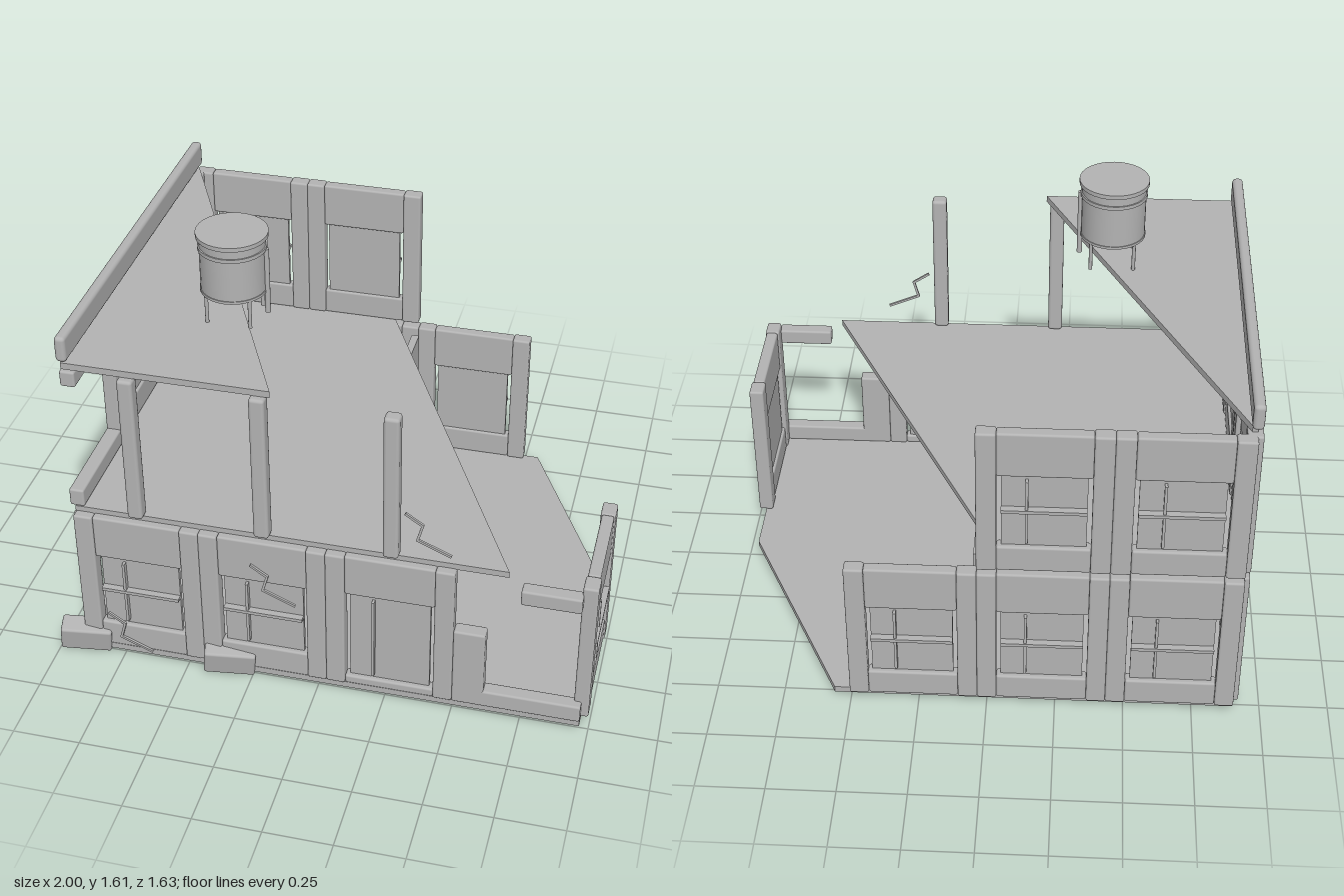
import * as THREE from 'three';
import { RoundedBoxGeometry } from 'three/addons/geometries/RoundedBoxGeometry.js';

const concrete = new THREE.MeshStandardMaterial({ color: 0xb3b3b3 });
concrete.name = 'grey concrete';

const STOREY = 0.59, THICK = 0.055;

function add(parent, name, geometry, x = 0, y = 0, z = 0) {
  const mesh = new THREE.Mesh(geometry, concrete);
  mesh.name = name;
  mesh.position.set(x, y, z);
  parent.add(mesh);
  return mesh;
}

// Softly rounded block given by its extents in x and y, its depth and centre z
function block(parent, name, x0, x1, y0, y1, depth, z = 0, r = 0.008) {
  const radius = Math.min(r, depth * 0.4, (x1 - x0) * 0.4, (y1 - y0) * 0.4);
  return add(parent, name, new RoundedBoxGeometry(x1 - x0, y1 - y0, depth, 2, radius),
    (x0 + x1) / 2, (y0 + y1) / 2, z);
}

function bar(parent, name, w, h, d, x, y, z) {
  return add(parent, name, new THREE.BoxGeometry(w, h, d), x, y, z);
}

// Flat slab cut to a polygon of [x, z] corners
function slab(parent, name, corners, y0, y1) {
  const shape = new THREE.Shape(corners.map(([x, z]) => new THREE.Vector2(x, -z)));
  const geometry = new THREE.ExtrudeGeometry(shape, { depth: y1 - y0, bevelEnabled: false });
  geometry.rotateX(-Math.PI / 2);
  return add(parent, name, geometry, 0, y0, 0);
}

// One wall bay, outside facing local +z: two pillars, panels and a recessed pane
function wallBay(w, isDoor) {
  const g = new THREE.Group();
  g.name = isDoor ? 'doorBay' : 'windowBay';
  const h = w / 2, pillar = w * 0.15, in0 = h - pillar, pane = in0 - 0.016;
  const lo = isDoor ? 0.035 : 0.105, hi = isDoor ? 0.42 : 0.412;
  block(g, 'leftPillar', -h, -in0, 0, STOREY, THICK);
  block(g, 'rightPillar', in0, h, 0, STOREY, THICK);
  block(g, 'lowerPanel', -in0, in0, 0, lo, THICK - 0.01);
  block(g, 'upperPanel', -in0, in0, hi, STOREY, THICK - 0.01);
  bar(g, 'pane', pane * 2, hi - lo, 0.016, 0, (lo + hi) / 2, -0.004);
  const barX = -pane + pane * 2 * 0.3;
  bar(g, 'uprightBar', 0.01, hi - lo - 0.04, 0.022, barX, (lo + hi) / 2, 0.013);
  if (!isDoor) bar(g, 'crossBar', pane * 2, 0.013, 0.03, 0, (lo + hi) / 2 + 0.008, 0.015);
  return g;
}

// Collapsed bay: sill, stump of a pier on the left, hanging lintel on the right
function brokenBay(w) {
  const g = new THREE.Group();
  g.name = 'brokenBay';
  const h = w / 2;
  block(g, 'sill', -h, h, 0, 0.07, THICK);
  block(g, 'pierStump', -h, -h + 0.115, 0, 0.332, THICK);
  block(g, 'brokenLintel', h - 0.235, h - 0.022, 0.5, 0.562, THICK);
  return g;
}

// Jagged crack: thin plates joining a few points
function crack(parent, x, y) {
  const pts = [[0, 0], [0.06, -0.04], [0.042, -0.105], [0.16, -0.155]];
  for (let i = 0; i < 3; i++) {
    const [ax, ay] = pts[i], [bx, by] = pts[i + 1];
    const m = bar(parent, 'crack', Math.hypot(bx - ax, by - ay) + 0.005, 0.009, 0.009,
      x + (ax + bx) / 2, y + (ay + by) / 2, 0.775);
    m.rotation.z = Math.atan2(by - ay, bx - ax);
  }
}

export function createModel() {
  const model = new THREE.Group();
  model.name = 'ruinedBuilding';
  const place = (bay, x, y, z, turn) => {
    bay.position.set(x, y, z);
    bay.rotation.y = turn;
    model.add(bay);
  };

  // Floors and remaining roof
  slab(model, 'baseSlab',
    [[-0.9, -0.78], [0.56, -0.78], [0.968, 0.03], [0.968, 0.765], [-0.9, 0.765]], 0.03, 0.055);
  slab(model, 'upperFloor', [[-0.9, -0.765], [-0.065, -0.765], [0.685, 0.74], [-0.9, 0.74]], 0.642, 0.666);
  slab(model, 'brokenRoof', [[-0.9, -0.745], [-0.88, -0.745], [-0.155, 0.74], [-0.9, 0.74]], 1.255, 1.28);

  // Walls, storey by storey
  const W = 0.467, D = 0.505;
  [0.055, 0.666].forEach((y, level) => {
    const backBays = level === 0 ? 3 : 2;
    for (let i = 0; i < backBays; i++) {
      place(wallBay(W, false), -0.9 + W * (i + 0.5), y, -0.78, Math.PI);
    }
    for (let i = 0; i < 3; i++) {
      const bay = i === 2 ? brokenBay(D) : wallBay(D, false);
      place(bay, -0.892, y, -0.775 + D * (i + 0.5), -Math.PI / 2);
    }
  });
  for (let i = 0; i < 4; i++) {
    const bay = i === 3 ? brokenBay(W) : wallBay(W, i === 2);
    place(bay, -0.9 + W * (i + 0.5), 0.055, 0.746, 0);
  }
  place(wallBay(D, false), 0.968, 0.055, 0.488, Math.PI / 2);

  // Plain inner wall on the ground floor
  bar(model, 'innerWall', 0.03, STOREY, 0.93, 0.035, 0.35, -0.23);

  // Free-standing posts along the upper front edge
  for (const x of [-0.665, -0.198, 0.269]) {
    block(model, 'frontPost', x - 0.028, x + 0.028, 0.666, 1.255, THICK, 0.74, 0.012);
  }

  // Parapet along the left roof edge
  block(model, 'parapet', -0.916, -0.876, 1.283, 1.382, 1.525, -0.017, 0.015);

  // Water tank on four legs
  const tank = new THREE.Group();
  tank.name = 'waterTank';
  tank.position.set(-0.412, 0, 0.288);
  model.add(tank);
  const drum = (name, r, y0, y1) =>
    add(tank, name, new THREE.CylinderGeometry(r, r, y1 - y0, 32), 0, (y0 + y1) / 2, 0);
  drum('tankBody', 0.118, 1.388, 1.603);
  drum('lowerBand', 0.121, 1.388, 1.398);
  drum('upperBand', 0.123, 1.553, 1.567);
  drum('tankLid', 0.128, 1.6, 1.616);
  for (const sx of [-1, 1]) {
    for (const sz of [-1, 1]) {
      add(tank, 'tankLeg', new THREE.CylinderGeometry(0.007, 0.007, 0.115, 8), sx * 0.079, 1.335, sz * 0.079);
    }
  }
  add(tank, 'tankPipe', new THREE.CylinderGeometry(0.01, 0.01, 0.255, 10), 0.122, 1.432, 0);

  // Cracks on the front plane
  crack(model, -0.795, 0.21);
  crack(model, -0.237, 0.545);
  crack(model, 0.325, 0.88);

  // Fallen rubble at the foot of the front wall
  for (const x of [-0.898, -0.337]) {
    const rubble = add(model, 'rubble', new RoundedBoxGeometry(0.19, 0.11, 0.08, 2, 0.01), x, 0.076, 0.757);
    rubble.rotation.set(0.2, 0.2, -0.12);
  }
  return model;
}
